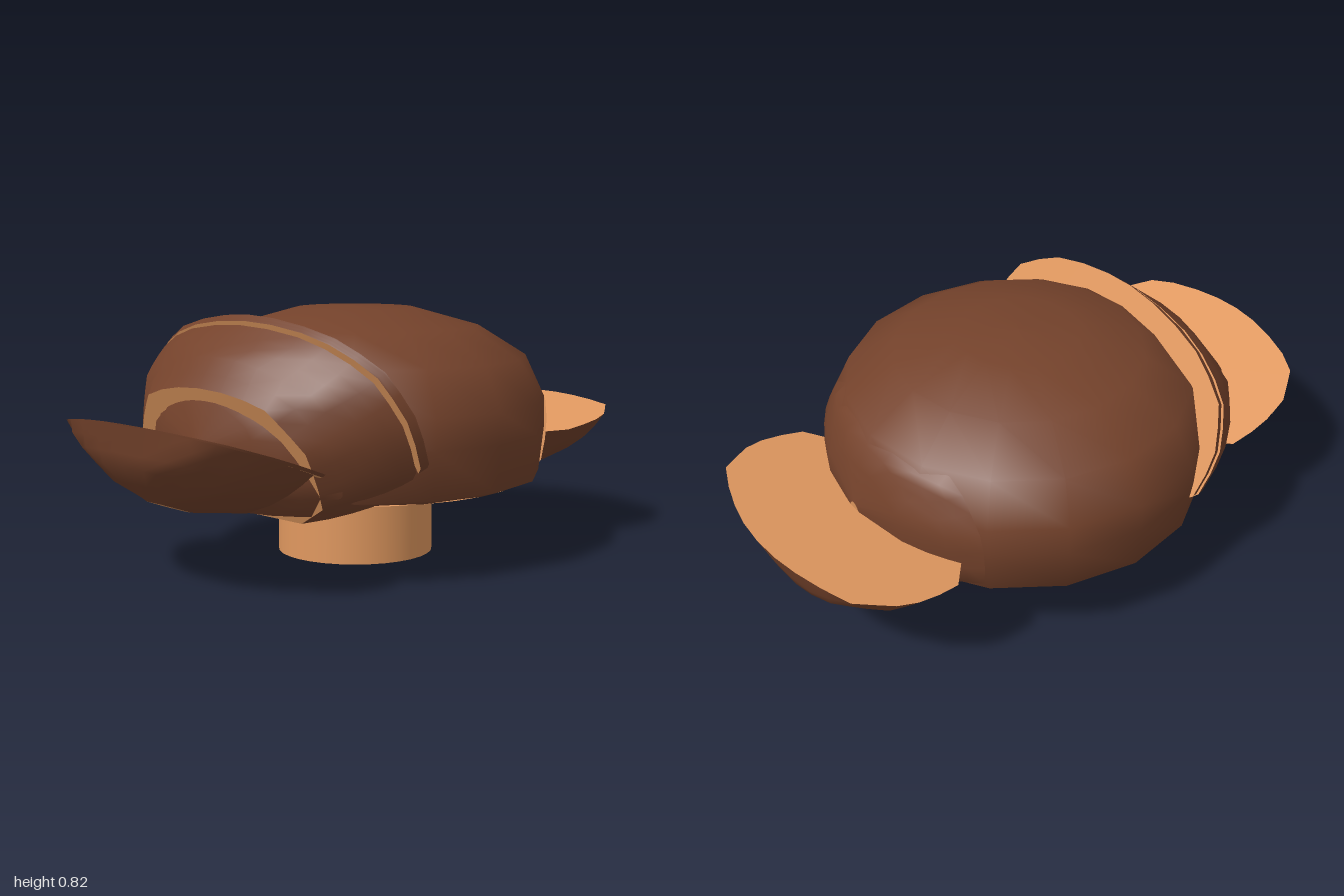
import * as THREE from 'three';

const skin = new THREE.MeshStandardMaterial({ color: 0x74422b, side: THREE.DoubleSide });
const flesh = new THREE.MeshStandardMaterial({ color: 0xe0985f, side: THREE.DoubleSide });

// Cap profile: radius, height (rim to crown)
const PROFILE = [[0.56, 0.25], [0.62, 0.27], [0.637, 0.42], [0.635, 0.52], [0.57, 0.66],
  [0.41, 0.76], [0.2, 0.818], [0, 0.825]];

function radiusAt(y) {
  for (let i = 1; i < PROFILE.length; i++) {
    const [r0, y0] = PROFILE[i - 1], [r1, y1] = PROFILE[i];
    if (y <= y1) return r0 + (r1 - r0) * (y - y0) / (y1 - y0);
  }
  return 0;
}

// Lowest and highest point of the cap on the cutting plane at x
function heightRange(x) {
  let low = null, high = 0.47;
  for (let i = 0; i <= 575; i++) {
    const y = 0.25 + i * 0.001;
    if (radiusAt(y) >= Math.abs(x)) { low ??= y; high = y; }
  }
  return [low ?? 0.47, high];
}

// Outline of the cap on the cutting plane at x, open along the bottom
function section(x, half = 10) {
  const [low, high] = heightRange(x), points = [];
  for (let k = 0; k <= 2 * half; k++) {
    const t = k / half - 1;
    const y = low + (high - low) * Math.cos(t * Math.PI / 2);
    const z = Math.sqrt(Math.max(0, radiusAt(y) ** 2 - x * x));
    points.push(k === half ? [x, high, 0] : [x, y, -Math.sign(t) * z]);
  }
  return points;
}

function surface(points, index, material, name) {
  const geometry = new THREE.BufferGeometry();
  geometry.setAttribute('position', new THREE.Float32BufferAttribute(points.flat(), 3));
  geometry.setIndex(index);
  geometry.computeVertexNormals();
  const mesh = new THREE.Mesh(geometry, material);
  mesh.name = name;
  return mesh;
}

// Slice of the cap between two cutting planes: skin outside, flesh on the cuts
function capSlice(name, x0, x1, angle, pivot, target, z = 0) {
  const steps = 5, loops = [];
  for (let i = 0; i <= steps; i++) loops.push(section(x0 + (x1 - x0) * i / steps));
  const n = loops[0].length, index = [], base = [], baseIndex = [];
  for (let i = 0; i < steps; i++) {
    for (let k = 0; k < n - 1; k++) {
      const a = i * n + k, b = a + n;
      index.push(a, b, a + 1, b, b + 1, a + 1);
    }
    const c = i * 2;
    baseIndex.push(c, c + 1, c + 2, c + 1, c + 3, c + 2);
  }
  loops.forEach(loop => base.push(loop[0], loop[n - 1]));
  const group = new THREE.Group();
  group.name = name;
  group.add(surface(loops.flat(), index, skin, name + 'Skin'));
  group.add(surface(base, baseIndex, flesh, name + 'Underside'));
  [loops[0], loops[steps]].forEach((loop, side) => {
    const fan = [];
    for (let k = 1; k < n - 1; k++) fan.push(0, side ? k + 1 : k, side ? k : k + 1);
    group.add(surface(loop, fan, flesh, name + 'Cut'));
  });
  // Turn the slice and bring the pivot to the target
  const a = THREE.MathUtils.degToRad(angle), c = Math.cos(a), s = Math.sin(a);
  group.rotation.z = a;
  group.position.set(target[0] - pivot[0] * c + pivot[1] * s, target[1] - pivot[0] * s - pivot[1] * c, z);
  return group;
}

function lathe(name, profile, material, segments) {
  const geometry = new THREE.LatheGeometry(profile.map(p => new THREE.Vector2(...p)), segments);
  const mesh = new THREE.Mesh(geometry, material);
  mesh.name = name;
  return mesh;
}

export function createModel() {
  const model = new THREE.Group();
  model.name = 'slicedMushroom';

  // Whole cap with hollow gills, and the stem
  model.add(lathe('cap', PROFILE, skin, 16));
  model.add(lathe('gills', [[0.56, 0.25], [0.5, 0.3], [0.4, 0.35], [0.31, 0.33], [0.27, 0.27], [0.255, 0.22]], flesh, 32));
  const stem = new THREE.Mesh(new THREE.CylinderGeometry(0.26, 0.26, 0.34, 32), flesh);
  stem.name = 'stem';
  stem.position.y = 0.17;
  model.add(stem);

  // End slices still on the cap, sagging a little
  model.add(capSlice('leftEndSlice', 0.45, 0.636, -4, [0.45, 0.25], [0.45, 0.222]));
  model.add(capSlice('rightEndSlice', -0.636, -0.45, 4, [-0.45, 0.25], [-0.48, 0.222]));

  // Leaning slice and the thin one beside it
  model.add(capSlice('leaningSlice', -0.5, -0.27, 25, [-0.27, 0.26], [-0.275, 0.295]));
  model.add(capSlice('thinLeaningSlice', -0.262, -0.235, 25, [-0.24, 0.26], [-0.24, 0.315]));

  // Fallen end slices lying with the cut face up
  model.add(capSlice('leftFallenSlice', 0.42, 0.634, -81, [0.42, 0.25], [0.5, 0.38], -0.01));
  model.add(capSlice('rightFallenSlice', -0.634, -0.445, 70, [-0.445, 0.25], [-0.53, 0.355]));
  model.add(capSlice('thinFallenSlice', -0.445, -0.435, 70, [-0.435, 0.25], [-0.495, 0.35]));
  return model;
}
